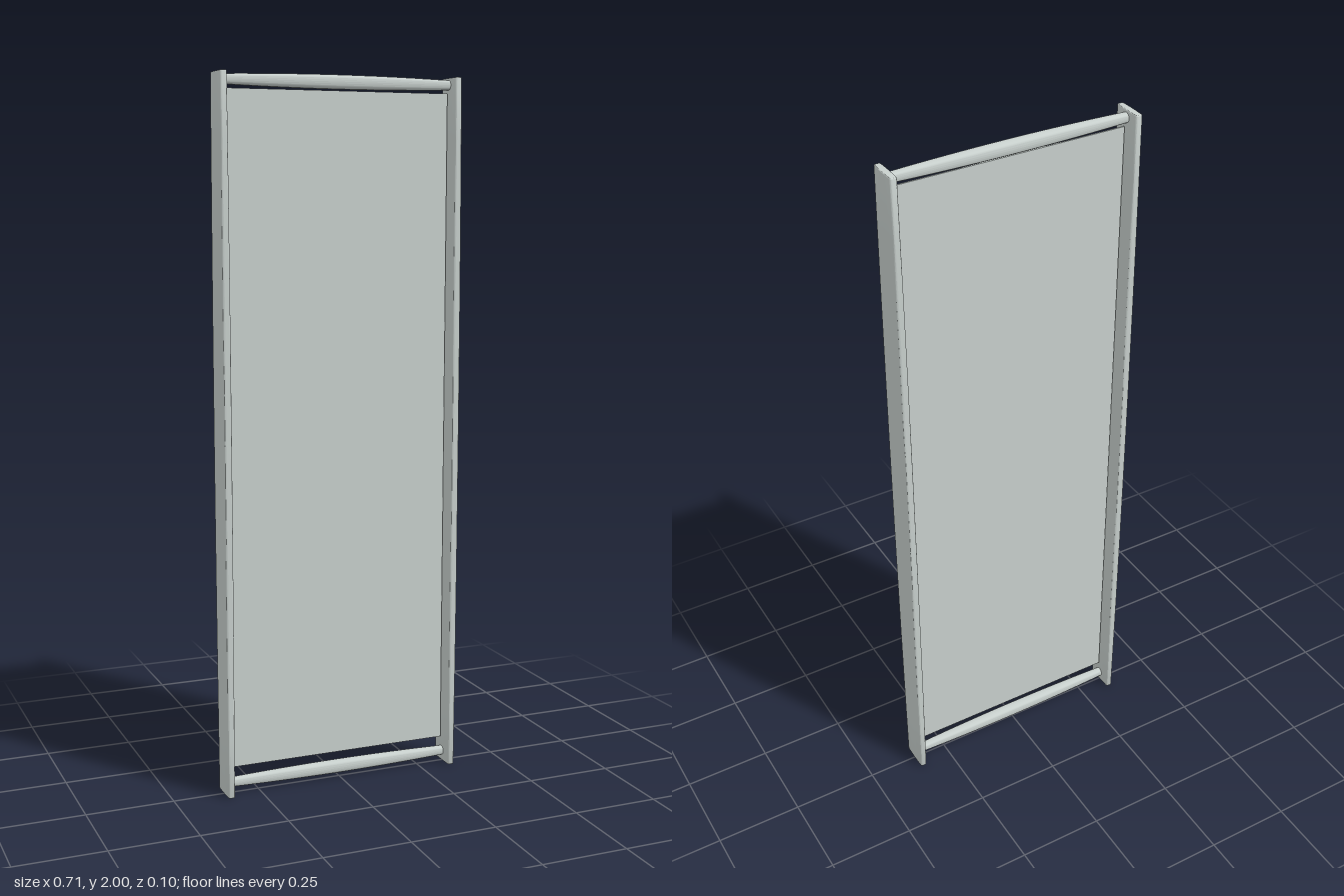
import * as THREE from 'three';
import { toCreasedNormals } from 'three/addons/utils/BufferGeometryUtils.js';

const HEIGHT = 2;

// Narrow side board: softly rounded section, slightly swollen at mid height
function sideBoardGeometry() {
  const w = 0.0075, m = 0.0095, d = 0.039, c = 0.0425, bevel = 0.003;
  const section = new THREE.Shape();
  section.moveTo(-w, -d);
  section.quadraticCurveTo(-w, -c, -w + 0.004, -c);
  section.lineTo(w - 0.004, -c);
  section.quadraticCurveTo(w, -c, w, -d);
  section.quadraticCurveTo(m, 0, w, d);
  section.quadraticCurveTo(w, c, w - 0.004, c);
  section.lineTo(-w + 0.004, c);
  section.quadraticCurveTo(-w, c, -w, d);
  section.quadraticCurveTo(-m, 0, -w, -d);

  const geometry = new THREE.ExtrudeGeometry(section, {
    depth: HEIGHT - 2 * bevel, steps: 12, curveSegments: 6,
    bevelThickness: bevel, bevelSize: bevel, bevelSegments: 3,
  });
  geometry.rotateX(-Math.PI / 2).translate(0, bevel, 0);
  const p = geometry.attributes.position;
  for (let i = 0; i < p.count; i++) {
    const t = p.getY(i) - 1;
    const swell = Math.max(0, 1 - t * t);
    p.setX(i, p.getX(i) * (0.9 + 0.14 * swell));
    p.setZ(i, p.getZ(i) * (1 + 0.1 * swell));
  }
  return toCreasedNormals(geometry, 0.7);
}

// Round rail, thicker at its middle, lying along x
function railGeometry() {
  const half = 0.338, steps = 12, profile = [new THREE.Vector2(0, -half)];
  for (let i = 0; i <= steps; i++) {
    const t = (i / steps) * 2 - 1;
    profile.push(new THREE.Vector2(0.0135 + 0.006 * (1 - t * t), t * half));
  }
  profile.push(new THREE.Vector2(0, half));
  const geometry = new THREE.LatheGeometry(profile, 24).rotateZ(Math.PI / 2);
  return toCreasedNormals(geometry, 0.7);
}

export function createModel() {
  const model = new THREE.Group();
  model.name = 'framedPanel';
  const frameMaterial = new THREE.MeshStandardMaterial({ color: 0xc8d0cd });
  frameMaterial.name = 'pale grey';

  const add = (name, geometry, x, y) => {
    const mesh = new THREE.Mesh(geometry, frameMaterial);
    mesh.name = name;
    mesh.position.set(x, y, 0);
    model.add(mesh);
  };

  // Upright boards
  const board = sideBoardGeometry();
  add('leftSideBoard', board, 0.343, 0);
  add('rightSideBoard', board, -0.343, 0);

  // Cross rails
  const rail = railGeometry();
  add('topRail', rail, 0, 1.98);
  add('bottomRail', rail, 0, 0.031);

  // Thin sheet between the boards
  add('panel', new THREE.BoxGeometry(0.656, 1.882, 0.004), 0, 1.016);

  return model;
}
